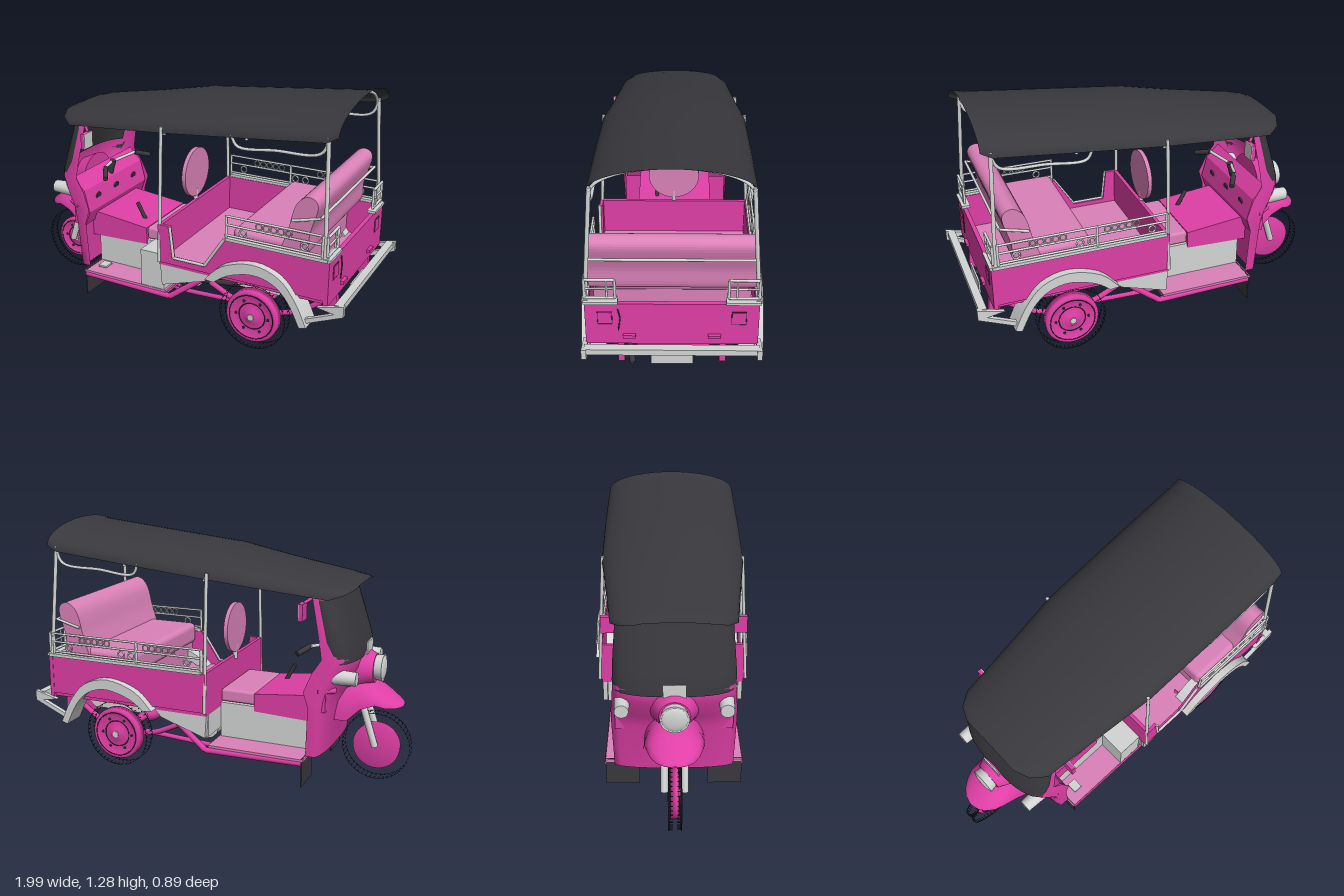
import * as THREE from 'three';
import { RoundedBoxGeometry } from 'three/addons/geometries/RoundedBoxGeometry.js';
import { mergeGeometries } from 'three/addons/utils/BufferGeometryUtils.js';

export function createModel() {
  const root = new THREE.Group();
  const paint = (name, color) => {
    const m = new THREE.MeshStandardMaterial({ color, side: THREE.DoubleSide });
    m.name = name;
    return m;
  };
  const magenta = paint('magentaPaint', 0xdf3fa6);
  const pink = paint('pinkVinyl', 0xdb82b9);
  const grey = paint('lightGreyMetal', 0xd4d5d5);
  const dark = paint('charcoal', 0x38383d);
  const black = paint('blackRubber', 0x1c1c1e);
  const V = (p) => new THREE.Vector3(...p);
  const curve = (pts) => new THREE.SplineCurve(pts.map((p) => new THREE.Vector2(...p)));

  const add = (name, geo, mat, pos = [0, 0, 0], rot = [0, 0, 0]) => {
    const m = new THREE.Mesh(geo, mat);
    m.name = name;
    m.position.set(...pos);
    m.rotation.set(...rot);
    root.add(m);
    return m;
  };
  // Box given by its limits on each axis
  const box = (name, mat, [x0, x1], [y0, y1], [z0, z1]) =>
    add(name, new THREE.BoxGeometry(x1 - x0, y1 - y0, z1 - z0), mat, [(x0 + x1) / 2, (y0 + y1) / 2, (z0 + z1) / 2]);
  const bar = (name, mat, a, b, r = 0.007) => {
    const d = V(b).sub(V(a));
    const m = add(name, new THREE.CylinderGeometry(r, r, d.length(), 12), mat);
    m.position.copy(V(a).addScaledVector(d, 0.5));
    m.quaternion.setFromUnitVectors(new THREE.Vector3(0, 1, 0), d.normalize());
  };
  const path = (name, mat, pts, r) => pts.slice(1).forEach((p, i) => bar(name, mat, pts[i], p, r));
  const tube = (name, mat, pts, r) =>
    add(name, new THREE.TubeGeometry(new THREE.CatmullRomCurve3(pts.map(V)), 32, r, 8), mat);
  // Side profile in x and y, extruded between two z limits
  const slab = (name, mat, pts, z0, z1, smooth = false) => {
    const shape = new THREE.Shape(smooth ? curve([...pts, pts[0]]).getPoints(48) : pts.map((p) => new THREE.Vector2(...p)));
    return add(name, new THREE.ExtrudeGeometry(shape, { depth: z1 - z0, bevelEnabled: false }), mat, [0, 0, z0]);
  };
  // Open sheet through rows of points
  const sheet = (name, mat, rows) => {
    const n = rows[0].length, idx = [];
    for (let i = 0; i < rows.length - 1; i++)
      for (let j = 0; j < n - 1; j++) {
        const a = i * n + j;
        idx.push(a, a + 1, a + n, a + 1, a + n + 1, a + n);
      }
    const g = new THREE.BufferGeometry();
    g.setAttribute('position', new THREE.Float32BufferAttribute(rows.flat(2), 3));
    g.setIndex(idx);
    g.computeVertexNormals();
    return add(name, g, mat);
  };

  // Canopy: arched sections from front to rear [x, crown, edge, half width]
  const roof = [
    [-0.725, 1.04, 1.03, 0.17], [-0.69, 1.055, 1.01, 0.25], [-0.62, 1.075, 0.99, 0.3], [-0.3, 1.13, 1.025, 0.335],
    [0, 1.19, 1.06, 0.37], [0.45, 1.235, 1.105, 0.375], [0.85, 1.277, 1.145, 0.375], [0.905, 1.287, 1.175, 0.37],
  ];
  const arch = ([x, top, edge, w], drop = 0, n = 24) => Array.from({ length: n + 1 }, (_, i) => {
    const a = Math.PI * (i / n - 0.5);
    return [x, edge + (top - edge) * Math.cos(a) - drop, Math.sin(a) * (w - drop)];
  });
  sheet('canopy', dark, roof.map((r) => arch(r)).reverse());
  [4, 5, 6].forEach((i) => tube('canopyRib', grey, arch(roof[i], 0.012), 0.008));
  [8, 12, 16].forEach((j) => path('canopyRail', grey, roof.slice(2, 7).map((r) => arch(r, 0.012)[j]), 0.006));

  // Front shell rows [y, centre x, side x, half width, rear edge x]
  const shellRow = ([y, xc, xs, w, xb]) => {
    const pts = [[xb, y, -w]];
    for (let i = 0; i <= 20; i++) {
      const t = i / 10 - 1;
      pts.push([xs + (xc - xs) * Math.pow(1 - Math.abs(t) ** 3, 0.8), y, w * t]);
    }
    return [...pts, [xb, y, w]];
  };
  sheet('frontShell', magenta, [
    [0.18, -0.61, -0.575, 0.3, -0.525], [0.44, -0.645, -0.59, 0.31, -0.535], [0.52, -0.685, -0.6, 0.31, -0.51],
    [0.62, -0.735, -0.65, 0.3, -0.55], [0.69, -0.745, -0.675, 0.295, -0.595], [0.78, -0.72, -0.65, 0.29, -0.58],
    [1.0, -0.65, -0.59, 0.275, -0.535], [1.04, -0.64, -0.59, 0.2, -0.56],
  ].map(shellRow));
  sheet('windshield', dark, [
    [0.67, -0.75, -0.685, 0.28, -0.68], [0.72, -0.742, -0.672, 0.295, -0.655], [0.78, -0.725, -0.655, 0.294, -0.62],
    [0.98, -0.66, -0.6, 0.28, -0.57], [1.02, -0.65, -0.6, 0.245, -0.59]].map(shellRow));
  sheet('windshieldInside', dark, [
    [0.75, -0.72, -0.645, 0.25, -0.645], [0.97, -0.65, -0.585, 0.255, -0.585], [1.02, -0.635, -0.58, 0.22, -0.58]].map(shellRow));
  box('frontPlate', grey, [-0.765, -0.757], [0.675, 0.74], [-0.055, 0.055]);
  slab('dashboard', magenta, [[-0.62, 0.69], [-0.55, 0.62], [-0.52, 0.5], [-0.55, 0.42], [-0.62, 0.42]], -0.29, 0.29);
  for (const z of [-0.18, 0, 0.18])
    add('dashDial', new THREE.CylinderGeometry(0.022, 0.022, 0.008, 18), dark, [-0.535, 0.56, z], [0, 0, 1.32]);
  slab('centreHump', magenta, [[-0.6, 0.48], [-0.21, 0.44], [-0.21, 0.345], [-0.58, 0.33]], -0.205, 0.205);
  sheet('splashPanel', magenta, [[[-0.56, 0.18, -0.3], [-0.56, 0.18, 0.3]], [[-0.56, 0.5, -0.3], [-0.56, 0.5, 0.3]]]);

  // Nose, front fender and lamps
  add('nose', new THREE.CylinderGeometry(0.075, 0.14, 0.14, 28), magenta, [-0.73, 0.595, 0], [0, 0, Math.PI / 2]);
  const fender = ([x, y, crown, w]) => Array.from({ length: 17 }, (_, i) => {
    const a = Math.PI * (i / 16 - 0.5);
    return [x, y + (crown - y) * Math.cos(a), w * Math.sin(a)];
  });
  sheet('frontFender', magenta, [
    [-0.955, 0.415, 0.422, 0.01], [-0.945, 0.415, 0.43, 0.05], [-0.92, 0.415, 0.448, 0.085], [-0.88, 0.42, 0.48, 0.115],
    [-0.83, 0.435, 0.512, 0.135], [-0.76, 0.41, 0.54, 0.145], [-0.69, 0.34, 0.55, 0.15], [-0.62, 0.34, 0.55, 0.15],
  ].map(fender).reverse());
  add('centreHeadlight', new THREE.CylinderGeometry(0.055, 0.07, 0.09, 24), grey, [-0.795, 0.6, 0], [0, 0, -Math.PI / 2]);
  add('centreLens', new THREE.SphereGeometry(0.065, 20, 12), grey, [-0.835, 0.6, 0]).scale.x = 0.25;
  for (const s of [1, -1]) {
    add('sideHeadlight', new THREE.CylinderGeometry(0.034, 0.042, 0.16, 20), grey, [-0.685, 0.6, s * 0.25], [0, 0, Math.PI / 2]);
    bar('lampArm', magenta, [-0.66, 0.53, s * 0.25], [-0.58, 0.53, s * 0.3], 0.015);
    box('mirrorGlass', grey, [-0.492, -0.488], [0.888, 0.972], [s * 0.315 - 0.037, s * 0.315 + 0.037]);
    box('mirrorShell', magenta, [-0.512, -0.492], [0.888, 0.972], [s * 0.315 - 0.037, s * 0.315 + 0.037]);
    bar('mirrorArm', magenta, [-0.503, 0.97, s * 0.3], [-0.54, 0.995, s * 0.265], 0.008);
    box('frontMudFlap', dark, [-0.524, -0.518], [0.03, 0.18], [s * 0.262 - 0.087, s * 0.262 + 0.087]);
    bar('fork', grey, [-0.735, 0.45, s * 0.05], [-0.82, 0.185, s * 0.05], 0.018);
    bar('handlebar', grey, [-0.56, 0.7, 0], [-0.5, 0.72, s * 0.17], 0.009);
    bar('grip', dark, [-0.5, 0.72, s * 0.15], [-0.45, 0.69, s * 0.23], 0.014);
  }
  bar('steeringColumn', dark, [-0.6, 0.55, 0], [-0.55, 0.71, 0], 0.018);
  bar('gearLever', dark, [-0.28, 0.44, 0.1], [-0.33, 0.53, 0.1], 0.011);

  // Wheels: dished rim between two depths, hub, bolts, tyre shoulder bands and tread lugs
  const wheel = (x, z, s, r, lo, hi, hw) => {
    const prof = [[0, hi], [0.03, hi], [0.045, hi - 0.014], [r * 0.65, hi - 0.016], [r * 0.82, hi - 0.003],
      [r * 0.95, hi - 0.003], [r, hi - 0.014], [r, lo], [0, lo]];
    const turn = [Math.PI / 2, 0, 0];
    add('wheelRim', new THREE.LatheGeometry(prof.map((p) => new THREE.Vector2(...p)), 40), magenta, [x, 0.18, z], [s * Math.PI / 2, 0, 0]);
    for (const k of [0.5, 0.84]) add('rimGroove', new THREE.TorusGeometry(r * k, 0.0025, 6, 40), black, [x, 0.18, z + s * (hi - (k < 0.6 ? 0.014 : 0.002))]);
    add('hubCap', new THREE.CylinderGeometry(0.017, 0.017, 0.012, 12), grey, [x, 0.18, z + s * hi], turn);
    for (let i = 0; i < 6; i++) {
      const a = i * Math.PI / 3;
      add('wheelBolt', new THREE.CylinderGeometry(0.007, 0.007, 0.008, 8), dark,
        [x + Math.cos(a) * r * 0.62, 0.18 + Math.sin(a) * r * 0.62, z + s * (hi - 0.013)], turn);
    }
    const tread = [];
    for (const e of [1, -1]) {
      tread.push(new THREE.CylinderGeometry(0.178, 0.178, 0.006, 48, 1, true).rotateX(Math.PI / 2).translate(0, 0, e * hw));
      for (let i = 0; i < 48; i++)
        tread.push(new THREE.BoxGeometry(0.002, 0.005, 0.018).translate(0.176, 0, e * (hw - 0.01)).rotateZ(i * Math.PI / 24));
    }
    add('tyreTread', mergeGeometries(tread), black, [x, 0.18, z]);
  };
  wheel(-0.82, 0, 1, 0.123, -0.022, 0.022, 0.03);
  for (const s of [1, -1]) wheel(0.51, s * 0.355, s, 0.142, -0.01, 0.045, 0.034);

  // Cab floor, engine box and driver's seat
  box('cabFloor', pink, [-0.53, -0.01], [0.165, 0.178], [-0.35, 0.35]);
  box('engineBox', grey, [-0.52, -0.02], [0.18, 0.37], [-0.2, 0.2]);
  box('sideStepBox', grey, [-0.16, -0.02], [0.18, 0.385], [0.2, 0.35]);
  add('driverSeat', new RoundedBoxGeometry(0.19, 0.07, 0.4, 3, 0.015), pink, [-0.115, 0.41, 0]);
  add('driverBackrest', new THREE.CylinderGeometry(0.135, 0.135, 0.022, 32), pink, [-0.018, 0.735, 0], [0, 0, Math.PI / 2]);
  bar('backrestStem', grey, [-0.018, 0.56, 0], [-0.018, 0.64, 0], 0.012);
  box('pedal', grey, [-0.47, -0.42], [0.19, 0.2], [0.24, 0.3]);

  // Passenger tub, with a doorway on one side
  const rect = [[-0.02, 0.37], [0.905, 0.37], [0.905, 0.58]];
  const door = [[0.36, 0.58], [0.25, 0.41], [0.07, 0.41], [0.05, 0.58]];
  slab('tubSideWithDoor', magenta, [...rect, ...door, [-0.02, 0.58]], 0.385, 0.403);
  slab('tubSide', magenta, [...rect, [-0.02, 0.58]], -0.403, -0.385);
  path('doorTrim', grey, door.map(([x, y]) => [x, y, 0.403]), 0.008);
  box('tubFront', magenta, [-0.02, 0], [0.37, 0.58], [-0.39, 0.39]);
  box('tubRear', magenta, [0.885, 0.908], [0.345, 0.578], [-0.405, 0.405]);
  box('tubUnderside', magenta, [-0.02, 0.9], [0.35, 0.372], [-0.39, 0.39]);
  box('frontSkirt', grey, [-0.018, -0.008], [0.23, 0.37], [-0.36, 0.36]);
  box('passengerFloor', pink, [0, 0.885], [0.372, 0.385], [-0.385, 0.385]);
  add('passengerSeat', new RoundedBoxGeometry(0.34, 0.12, 0.76, 3, 0.03), pink, [0.56, 0.575, 0]);
  box('seatBase', pink, [0.42, 0.72], [0.385, 0.53], [-0.38, 0.38]);
  slab('passengerBackrest', pink, [[0.65, 0.58], [0.69, 0.7], [0.725, 0.83], [0.785, 0.88], [0.835, 0.84],
    [0.8, 0.7], [0.78, 0.58]], -0.395, 0.395, true);
  path('backrestRail', grey, [[0.71, 0.75, 0.4], [0.85, 0.785, 0.395], [0.85, 0.785, -0.395], [0.71, 0.75, -0.4]], 0.007);

  // Posts, side rails with scrolls, fenders and side skirts
  for (const s of [1, -1]) {
    const z = s * 0.403, start = s > 0 ? 0.37 : 0;
    bar('frontPost', grey, [-0.015, 0.37, z], [-0.015, 1.09, s * 0.365], 0.009);
    bar('rearPost', grey, [0.885, 0.58, z], [0.855, 1.17, s * 0.36], 0.01);
    tube('grabHandle', grey, [[0.37, 1.11, s * 0.365], [0.4, 1.055, s * 0.36], [0.6, 1.065, s * 0.36], [0.82, 1.085, s * 0.36], [0.86, 1.16, s * 0.36]], 0.008);
    box('tubRim', grey, [start, 0.9], [0.578, 0.594], [z - 0.014, z + 0.014]);
    [0.605, 0.66, 0.705].forEach((y) => bar('sideRail', grey, [start, y, z], [0.87, y, z], 0.006));
    for (const x of s > 0 ? [0.37, 0.87] : [0, 0.37, 0.87]) bar('railPost', grey, [x, 0.59, z], [x, 0.708, z], 0.007);
    for (const x0 of s > 0 ? [0.62] : [0.24, 0.62]) {
      for (let i = -2; i <= 2; i++) add('railScroll', new THREE.TorusGeometry(0.016, 0.004, 6, 14), grey, [x0 + i * 0.038, 0.682, z]);
      for (const i of [-1, 1]) add('railRing', new THREE.TorusGeometry(0.018, 0.005, 6, 14), grey, [x0 + i * 0.16, 0.632, z]);
    }
    // Rear corner rack
    const zi = s * 0.262;
    path('cornerRack', grey, [[0.895, 0.605, z], [0.895, 0.705, z], [0.895, 0.705, zi], [0.895, 0.605, zi], [0.895, 0.605, z]], 0.007);
    bar('cornerRackBar', grey, [0.895, 0.655, z], [0.895, 0.655, zi], 0.005);
    bar('cornerRackPost', grey, [0.895, 0.605, s * 0.3], [0.895, 0.705, s * 0.3], 0.005);
    box('cornerTray', grey, [0.87, 0.915], [0.578, 0.592], [s * 0.33 - 0.08, s * 0.33 + 0.08]);
    // Rear wheel arch
    const outer = curve([[0.27, 0.355], [0.37, 0.45], [0.53, 0.495], [0.67, 0.455], [0.76, 0.35], [0.82, 0.225]]).getPoints(20);
    const inner = curve([[0.785, 0.215], [0.72, 0.34], [0.64, 0.415], [0.53, 0.44], [0.4, 0.405], [0.32, 0.35]]).getPoints(20);
    slab('rearFender', grey, [...outer, ...inner].map((p) => [p.x, p.y]), s > 0 ? 0.32 : -0.443, s > 0 ? 0.443 : -0.32);
    slab('wheelWell', grey, [[0.3, 0.36], [0.78, 0.36], [0.7, 0.28], [0.4, 0.28]], s * 0.29 - 0.004, s * 0.29 + 0.004);
    slab('sideSkirt', grey, [[-0.02, 0.372], [0.3, 0.372], [0.24, 0.31], [-0.01, 0.23]], s * 0.375 - 0.012, s * 0.375 + 0.012);
    // Chassis side members
    path('floorRail', magenta, [[-0.52, 0.155, s * 0.34], [0.01, 0.145, s * 0.34], [0.33, 0.38, s * 0.3]], 0.016);
    path('chassisRail', magenta, [[-0.4, 0.12, s * 0.15], [0.05, 0.12, s * 0.2], [0.42, 0.16, s * 0.24]], 0.013);
    tube('leafSpring', magenta, [[0.2, 0.23, s * 0.24], [0.36, 0.16, s * 0.24], [0.51, 0.14, s * 0.24], [0.68, 0.18, s * 0.24], [0.86, 0.3, s * 0.24]], 0.015);
    slab('springHanger', magenta, [[0.8, 0.36], [0.9, 0.35], [0.91, 0.24], [0.87, 0.21]], s * 0.24 - 0.015, s * 0.24 + 0.015);
    // Bumper brackets and tail lamp outlines
    slab('bumperArm', grey, [[0.86, 0.34], [0.995, 0.375], [0.995, 0.32], [0.8, 0.235], [0.8, 0.26], [0.95, 0.325]], s * 0.41 - 0.012, s * 0.41 + 0.012);
    const q = [[-1, -1], [1, -1], [1, 1], [-1, 1], [-1, -1]].map(([a, b]) => [0.909, 0.498 + b * 0.036, s * 0.312 + a * 0.034]);
    path('tailLampFrame', dark, q, 0.0015);
    box('tailLamp', magenta, [0.905, 0.912], [0.466, 0.53], [s * 0.312 - 0.031, s * 0.312 + 0.031]);
    box('smallRearLamp', magenta, [0.905, 0.925], [0.388, 0.405], [s * 0.2 - 0.03, s * 0.2 + 0.03]);
  }
  path('tailgateLatch', dark, [[0.912, 0.55, 0.25], [0.915, 0.5, 0.24], [0.915, 0.43, 0.25]], 0.003);
  box('rearBumper', grey, [0.945, 0.985], [0.338, 0.37], [-0.41, 0.41]);
  box('numberPlate', grey, [0.915, 0.924], [0.235, 0.33], [-0.1, 0.1]);

  // Underbody: floor grid, axle, differential, silencer, tank and stand
  for (let i = 0; i < 6; i++) bar('floorCrossBar', magenta, [-0.5 + i * 0.095, 0.15, -0.34], [-0.5 + i * 0.095, 0.15, 0.34], 0.011);
  for (const z of [-0.2, 0.2]) bar('floorLongBar', magenta, [-0.51, 0.14, z], [0, 0.14, z], 0.01);
  bar('rearAxle', magenta, [0.51, 0.18, -0.34], [0.51, 0.18, 0.34], 0.024);
  add('differential', new THREE.SphereGeometry(0.07, 20, 14), magenta, [0.51, 0.185, 0]).scale.set(1, 0.8, 1.2);
  bar('driveShaft', magenta, [0.05, 0.22, 0], [0.46, 0.18, 0], 0.018);
  bar('silencer', magenta, [0.78, 0.275, -0.18], [0.78, 0.275, 0.17], 0.062);
  tube('exhaustPipe', dark, [[0.1, 0.2, 0.2], [0.45, 0.25, 0.2], [0.75, 0.29, 0.21], [0.88, 0.2, 0.19]], 0.015);
  bar('gearboxHousing', grey, [0.07, 0.22, -0.19], [0.07, 0.22, 0.19], 0.07);
  bar('engineTank', grey, [-0.36, 0.215, 0], [-0.08, 0.215, 0], 0.13);
  path('stand', magenta, [[-0.22, 0.14, 0.16], [-0.22, 0.075, 0.14], [-0.22, 0.075, -0.14], [-0.22, 0.14, -0.16]], 0.004);
  return root;
}
